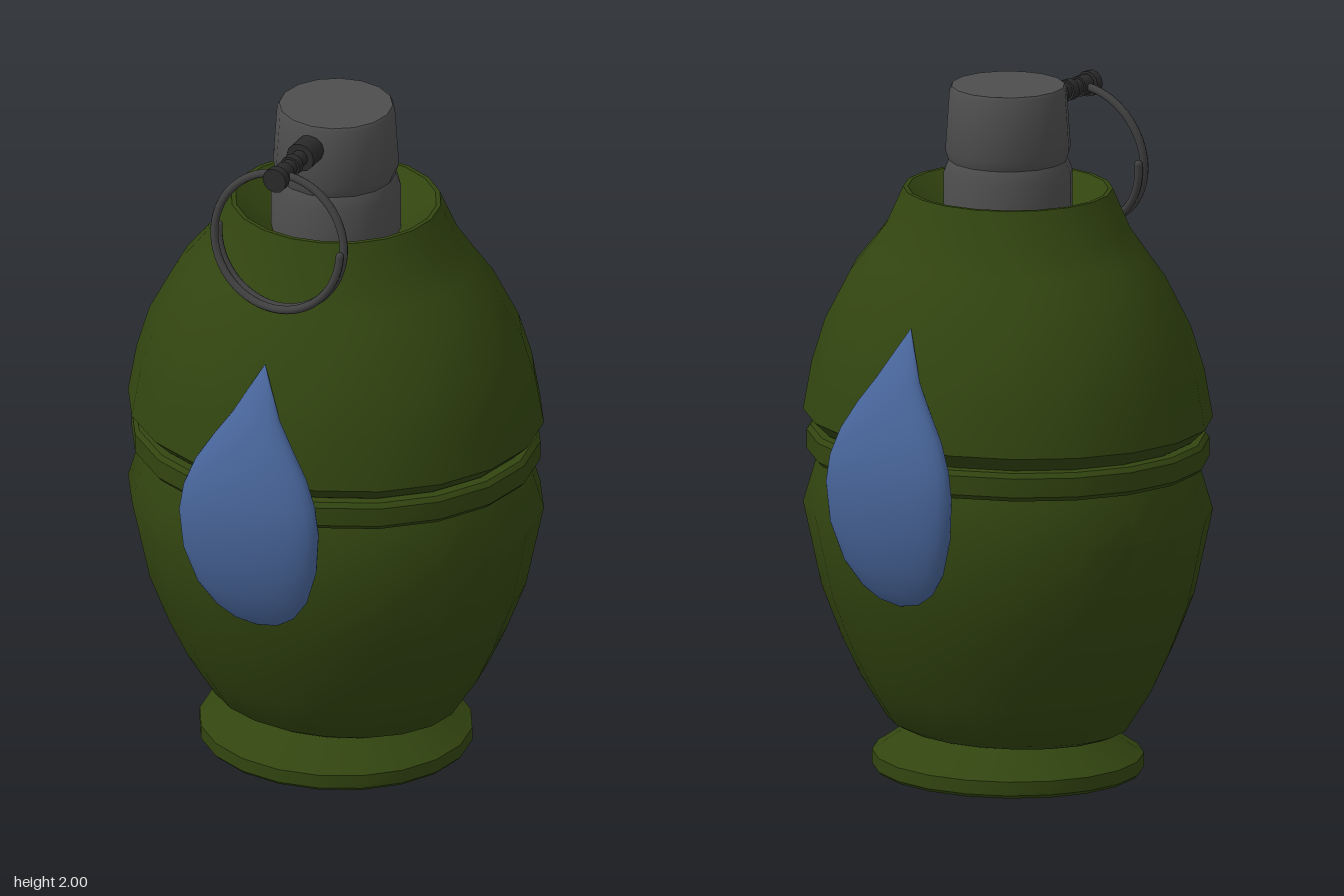
import * as THREE from 'three';
import { toCreasedNormals } from 'three/addons/utils/BufferGeometryUtils.js';

const mat = (color) => new THREE.MeshStandardMaterial({ color });
const GREEN = mat(0x324510), GREY = mat(0x4d4d4d), DARK = mat(0x2a2a2a), RING = mat(0x404040), BLUE = mat(0x48659a);

function add(parent, name, geometry, material) {
  const mesh = new THREE.Mesh(geometry, material);
  mesh.name = name;
  parent.add(mesh);
  return mesh;
}

// Skin a stack of closed cross-sections, listed from the bottom up
function loft(rows, sides, point, crease) {
  const pos = [], index = [];
  for (const row of rows)
    for (let i = 0; i < sides; i++) pos.push(...point(row, (i / sides) * Math.PI * 2));
  for (let j = 0; j < rows.length - 1; j++)
    for (let i = 0; i < sides; i++) {
      const k = (i + 1) % sides;
      const a = j * sides + i, b = j * sides + k, c = a + sides, d = b + sides;
      index.push(a, b, d, a, d, c);
    }
  const g = new THREE.BufferGeometry();
  g.setAttribute('position', new THREE.Float32BufferAttribute(pos, 3));
  g.setIndex(index);
  return toCreasedNormals(g, crease);
}

// Rows are [y, half width, half depth]
const oval = (rows, sides = 20) =>
  loft(rows, sides, ([y, rx, rz], a) => [rx * Math.sin(a), y, rz * Math.cos(a)], 0.6);

// Rows are [y, half width, z of the edge, z of the front]
const drop = (rows) => loft(rows, 28, ([y, w, edge, front], a) => {
  const c = Math.cos(a);
  return [w * Math.sin(a), y, edge + c * (c > 0 ? front - edge : Math.min(0.06, w * 0.4))];
}, 0.9);

export function createModel() {
  const model = new THREE.Group();
  model.name = 'grenade';

  // Foot with a recessed underside
  add(model, 'base', oval([
    [0.06, 0, 0], [0.06, 0.29, 0.27], [0.01, 0.31, 0.29], [0, 0.33, 0.31], [0, 0.385, 0.362],
    [0.01, 0.395, 0.372], [0.05, 0.395, 0.372], [0.062, 0.375, 0.352], [0.13, 0.28, 0.25],
  ]), GREEN);

  // Two shells separated by a groove
  add(model, 'lowerBody', oval([
    [0.12, 0.27, 0.23], [0.125, 0.33, 0.275], [0.14, 0.367, 0.3], [0.26, 0.445, 0.37],
    [0.38, 0.5, 0.43], [0.525, 0.556, 0.485], [0.77, 0.607, 0.54], [0.91, 0.565, 0.5], [0.92, 0.53, 0.47],
  ]), GREEN);
  add(model, 'band', oval([
    [0.91, 0.54, 0.48], [0.912, 0.585, 0.52], [0.925, 0.597, 0.53],
    [0.98, 0.597, 0.53], [0.994, 0.585, 0.52], [0.996, 0.54, 0.48],
  ]), GREEN);

  // Upper shell ends in a rim with a dished top
  add(model, 'upperBody', oval([
    [0.98, 0.53, 0.47], [1.0, 0.565, 0.5], [1.04, 0.607, 0.54], [1.18, 0.583, 0.515], [1.305, 0.546, 0.475],
    [1.45, 0.468, 0.41], [1.52, 0.41, 0.37], [1.59, 0.355, 0.33], [1.7, 0.303, 0.29],
    [1.7, 0.29, 0.277], [1.6, 0.17, 0.165], [1.6, 0, 0],
  ]), GREEN);

  // Fuse cap with a shallow groove
  add(model, 'fuseCap', oval([
    [1.6, 0.185], [1.75, 0.185], [1.785, 0.17], [1.815, 0.18], [1.99, 0.168], [2, 0.162], [2, 0],
  ].map(([y, r]) => [y, r, r]), 16), GREY);

  // Safety pin: collar, shaft and end bands, each [z start, z end, radius]
  const pin = new THREE.Group();
  pin.name = 'safetyPin';
  pin.position.y = 1.93;
  model.add(pin);
  const pinParts = {
    pinCollar: [0.14, 0.23, 0.043], pinShaft: [0.22, 0.39, 0.024],
    pinBand: [0.27, 0.295, 0.031], pinEye: [0.325, 0.365, 0.03], pinHead: [0.37, 0.395, 0.037],
  };
  for (const [name, [z0, z1, r]] of Object.entries(pinParts)) {
    const part = add(pin, name, new THREE.CylinderGeometry(r, r, z1 - z0, 12), DARK);
    part.rotation.x = Math.PI / 2;
    part.position.z = (z0 + z1) / 2;
  }

  // Pull ring: a tilted split ring of one and a half coils
  const coil = [];
  for (let i = 0; i <= 60; i++) {
    const t = i / 60, a = Math.PI + t * Math.PI * 3;
    coil.push(new THREE.Vector3(0.202 * Math.cos(a), 0.202 * Math.sin(a), (t - 0.5) * 0.04));
  }
  const ring = add(model, 'pullRing',
    new THREE.TubeGeometry(new THREE.CatmullRomCurve3(coil), 90, 0.012, 8), RING);
  ring.position.set(0.003, 1.73, 0.37);
  ring.rotation.x = -0.12;
  for (const end of [coil[0], coil[60]]) {
    const tip = add(ring, 'ringEnd', new THREE.SphereGeometry(0.0125, 8, 6), RING);
    tip.position.copy(end);
  }

  // Teardrop ornaments on front and back
  const dropGeometry = drop([
    [0.57, 0, 0.505, 0.505], [0.585, 0.07, 0.51, 0.522], [0.62, 0.122, 0.518, 0.546], [0.69, 0.173, 0.535, 0.58],
    [0.8, 0.21, 0.55, 0.612], [0.92, 0.22, 0.556, 0.625], [1.0, 0.207, 0.554, 0.62], [1.08, 0.175, 0.546, 0.606],
    [1.16, 0.125, 0.534, 0.582], [1.235, 0.074, 0.512, 0.55], [1.375, 0, 0.453, 0.453],
  ]);
  add(model, 'frontTeardrop', dropGeometry, BLUE);
  add(model, 'backTeardrop', dropGeometry, BLUE).rotation.y = Math.PI;

  return model;
}
